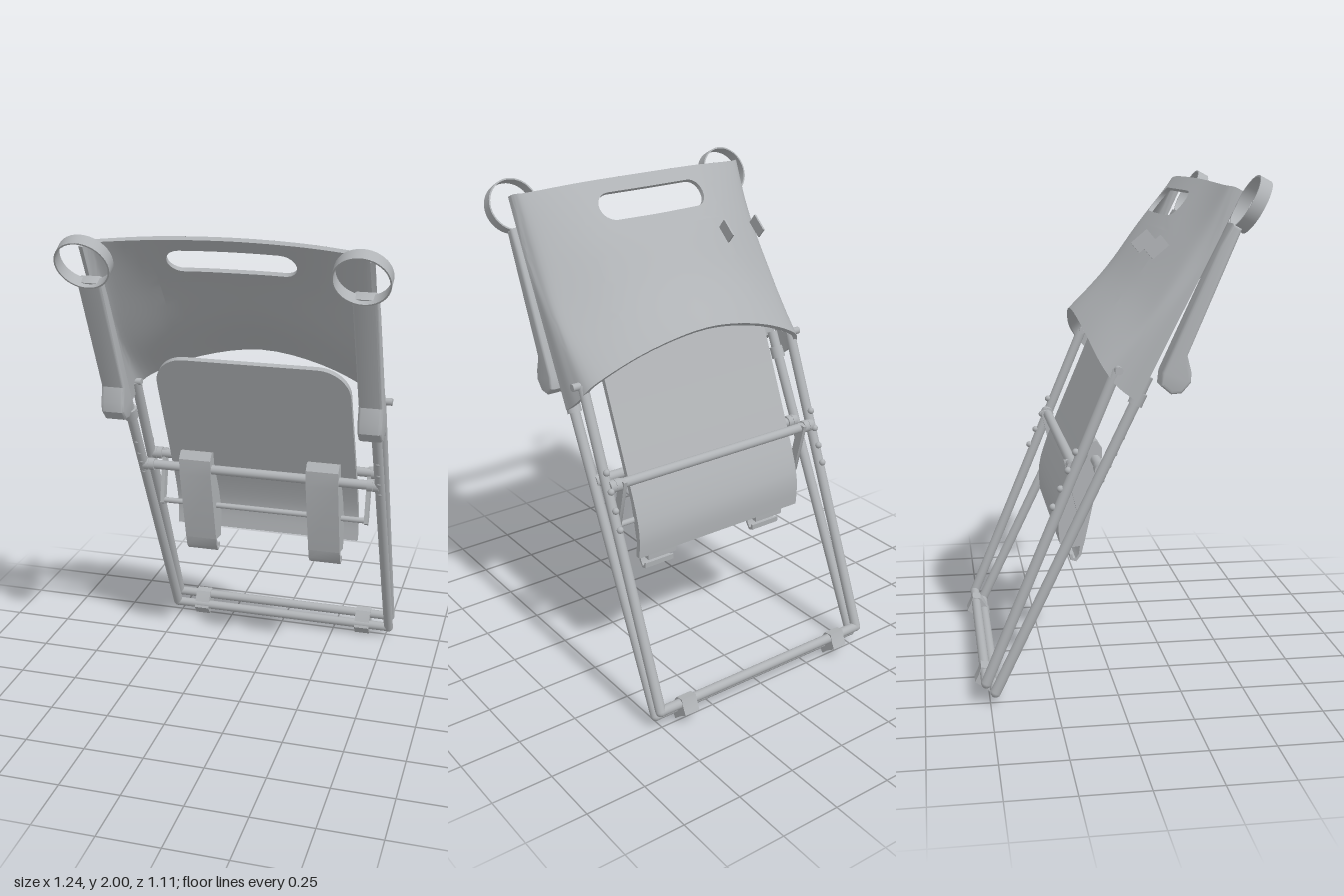
import * as THREE from 'three';
import { mergeGeometries, toCreasedNormals } from 'three/addons/utils/BufferGeometryUtils.js';

const grey = new THREE.MeshStandardMaterial({ color: 0xb0b3b6, side: THREE.DoubleSide });
grey.name = 'grey';
const V = (x, y, z) => new THREE.Vector3(x, y, z);

// grid surface from a rule f(a, b), with a and b running 0..1
function sheet(f, na, nb) {
  const pos = [], idx = [];
  for (let j = 0; j <= nb; j++)
    for (let i = 0; i <= na; i++) pos.push(...f(i / na, j / nb).toArray());
  for (let j = 0; j < nb; j++)
    for (let i = 0; i < na; i++) {
      const p = j * (na + 1) + i, q = p + na + 1;
      idx.push(p, q, p + 1, p + 1, q, q + 1);
    }
  const g = new THREE.BufferGeometry();
  g.setAttribute('position', new THREE.Float32BufferAttribute(pos, 3));
  g.setIndex(idx);
  return g.toNonIndexed();
}

// side outline given as [z, y] pairs, extruded across x
function sideProfile(points, width, x, bevel = 0) {
  const shape = new THREE.Shape(points.map(([z, y]) => new THREE.Vector2(z, y)));
  const depth = width - 2 * bevel;
  const g = new THREE.ExtrudeGeometry(shape, {
    depth, bevelEnabled: bevel > 0, bevelSize: bevel, bevelThickness: bevel, bevelOffset: -bevel, bevelSegments: 3
  });
  g.translate(0, 0, -depth / 2).rotateY(-Math.PI / 2).translate(x, 0, 0);
  return toCreasedNormals(g, 0.6);
}

// backrest: five columns of control points, mirrored
const columns = [
  [[0, 1.985, 0.34], [0, 1.8, 0.185], [0, 1.615, 0.035], [0, 1.46, -0.12]],
  [[0.27, 1.98, 0.355], [0.27, 1.795, 0.205], [0.27, 1.59, 0.055], [0.27, 1.415, -0.105]],
  [[0.49, 1.965, 0.385], [0.49, 1.76, 0.27], [0.49, 1.52, 0.11], [0.49, 1.32, -0.07]],
  [[0.54, 1.96, 0.41], [0.54, 1.73, 0.31], [0.54, 1.5, 0.15], [0.54, 1.24, -0.015]],
  [[0.55, 1.945, 0.44], [0.55, 1.72, 0.33], [0.55, 1.48, 0.21], [0.55, 1.18, 0.06]]
].map(c => new THREE.CatmullRomCurve3(c.map(p => V(...p)), false, 'catmullrom'));

function backPoint(u, v) {
  const half = columns.map(c => c.getPoint(THREE.MathUtils.clamp(v, 0, 1)));
  const mirrored = half.slice(1).reverse().map(p => V(-p.x, p.y, p.z));
  return new THREE.CatmullRomCurve3([...mirrored, ...half], false, 'catmullrom').getPoint(THREE.MathUtils.clamp(u, 0, 1));
}

function backShell(u, v, depth) {
  const p = backPoint(u, v), e = 0.004;
  if (!depth) return p;
  const du = backPoint(u + e, v).sub(backPoint(u - e, v));
  const dv = backPoint(u, v + e).sub(backPoint(u, v - e));
  return p.addScaledVector(du.cross(dv).normalize(), -depth);
}

function backrestGeometry() {
  const thick = 0.018, parts = [];
  // square loop and matching rounded slot loop
  const square = a => {
    const k = (a * 4) % 4, s = Math.floor(k), t = (k - s) * 2 - 1;
    return [[t, -1], [1, t], [-t, 1], [-1, -t]][s];
  };
  const slot = a => {
    const [x, y] = square(a);
    if (Math.abs(y) === 1) return [0.494 + x * 0.088, 0.17 + y * 0.085];
    const w = y * Math.PI / 2;
    return [0.494 + x * (0.088 + 0.028 * Math.cos(w)), 0.17 + 0.085 * Math.sin(w)];
  };
  const lerp = THREE.MathUtils.lerp;
  for (const d of [0, thick]) {
    const patch = (u0, u1, v0, v1, na, nb) =>
      parts.push(sheet((a, b) => backShell(lerp(u0, u1, a), lerp(v0, v1, b), d), na, nb));
    patch(0, 0.35, 0, 1, 16, 24);
    patch(0.65, 1, 0, 1, 16, 24);
    patch(0.35, 0.65, 0.34, 1, 10, 16);
    parts.push(sheet((a, b) => {
      const [x, y] = square(a), [u, v] = slot(a);
      return backShell(lerp(0.5 + x * 0.15, u, b), lerp(0.17 + y * 0.17, v, b), d);
    }, 48, 4));
  }
  // slot wall and outer rim
  parts.push(sheet((a, b) => backShell(...slot(a), b * thick), 48, 1));
  for (const e of [0, 1]) {
    parts.push(sheet((a, b) => backShell(a, e, b * thick), 44, 1));
    parts.push(sheet((a, b) => backShell(e, a, b * thick), 24, 1));
  }
  return toCreasedNormals(mergeGeometries(parts), 0.7);
}

function seatGeometry() {
  const curve = new THREE.CatmullRomCurve3([V(0, 1.44, 0.08), V(0, 1.2, -0.02), V(0, 0.95, -0.125),
    V(0, 0.8, -0.185), V(0, 0.7, -0.21), V(0, 0.6, -0.205)]);
  const rows = 36, r = 0.13, length = curve.getLength();
  return toCreasedNormals(sheet((a, b) => {
    const row = Math.round(b * rows);
    const t = THREE.MathUtils.clamp((row - 1) / (rows - 2), 0, 1) ** 2;
    const d = Math.min(r, t * length);
    const w = 0.405 - r + Math.sqrt(r * r - (r - d) ** 2);
    const h = row === 0 || row === rows ? 0 : 0.011; // closed ends
    const [sx, sn] = [[-1, -1], [1, -1], [1, 1], [-1, 1], [-1, -1]][Math.round(a * 4)];
    const p = curve.getPointAt(t), n = curve.getTangentAt(t);
    return V(sx * w, p.y - n.z * sn * h, p.z + n.y * sn * h);
  }, 4, rows), 0.6);
}

export function createModel() {
  const model = new THREE.Group();
  const add = (name, geometry) => {
    const m = new THREE.Mesh(geometry, grey);
    m.name = name;
    model.add(m);
    return m;
  };
  const rod = (name, p, q, r) => {
    const d = q.clone().sub(p);
    const m = add(name, new THREE.CylinderGeometry(r, r, d.length(), 16));
    m.position.copy(p).addScaledVector(d, 0.5);
    m.quaternion.setFromUnitVectors(V(0, 1, 0), d.normalize());
  };
  const ball = (name, x, y, z, r) => add(name, new THREE.SphereGeometry(r, 12, 8)).position.set(x, y, z);

  add('backrest', backrestGeometry());
  add('seat', seatGeometry());

  // hooks on the back of the backrest
  for (const [x, y, z] of [[-0.45, 1.74, 0.145], [-0.275, 1.75, 0.125]]) {
    const m = add('backHook', new THREE.BoxGeometry(0.008, 0.05, 0.08));
    m.position.set(x, y, z);
    m.rotation.x = -0.7;
  }

  // crossbars
  rod('frontFootBar', V(-0.515, 0.05, -0.48), V(0.515, 0.05, -0.48), 0.02);
  rod('rearFootBar', V(-0.515, 0.09, -0.515), V(0.515, 0.09, -0.515), 0.02);
  rod('frontSeatBar', V(-0.51, 0.915, -0.068), V(0.51, 0.915, -0.068), 0.02);
  rod('rearSeatBar', V(-0.51, 0.93, -0.173), V(0.51, 0.93, -0.173), 0.02);
  rod('thinRod', V(-0.455, 0.727, -0.13), V(0.455, 0.727, -0.13), 0.012);

  for (const s of [-1, 1]) {
    const x = s * 0.515;
    // legs
    rod('frontLeg', V(x, 0.05, -0.48), V(x, 1.27, 0.105), 0.021);
    rod('rearLeg', V(x, 0.09, -0.515), V(x, 1.3, -0.012), 0.021);
    ball('frontLegCorner', x, 0.05, -0.48, 0.021);
    ball('rearLegCorner', x, 0.09, -0.515, 0.021);
    rod('legCollar', V(x, 1.165, 0.055), V(x, 1.21, 0.077), 0.029);
    rod('pivotPin', V(s * 0.49, 1.3, -0.01), V(s * 0.562, 1.3, -0.01), 0.015);
    for (const bx of [0.475, 0.5]) {
      rod('barCollar', V(s * (bx - 0.012), 0.915, -0.068), V(s * (bx + 0.012), 0.915, -0.068), 0.026);
      rod('barCollar', V(s * (bx - 0.012), 0.93, -0.173), V(s * (bx + 0.012), 0.93, -0.173), 0.026);
    }
    // adjustment studs
    for (const y of [0.78, 0.85, 0.92, 0.99])
      ball('rearLegStud', x, y, -0.173 + (y - 0.93) * 0.416 - 0.018, 0.014);
    for (const y of [0.88, 0.935, 0.98, 1.04])
      ball('frontLegStud', x, y, -0.068 + (y - 0.915) * 0.48 + 0.016, 0.012);

    // armrest with ring on its end
    add('armrest', sideProfile([[0.44, 1.81], [0.405, 1.83], [0.36, 1.75], [0.15, 1.29], [0.145, 1.24],
      [0.185, 1.207], [0.225, 1.21], [0.26, 1.25], [0.26, 1.29], [0.245, 1.35]], 0.095, s * 0.518, 0.012));
    const ring = new THREE.LatheGeometry([[0.1, -0.025], [0.106, -0.025], [0.106, 0.025], [0.1, 0.025], [0.1, -0.025]]
      .map(p => new THREE.Vector2(...p)), 40);
    const ringMesh = add('ring', toCreasedNormals(ring, 0.6));
    ringMesh.position.set(x, 1.896, 0.48);
    ringMesh.rotation.x = -1.08;

    // swing link between rear bar and thin rod
    add('link', sideProfile([[-0.205, 0.945], [-0.165, 0.95], [-0.112, 0.72], [-0.135, 0.705], [-0.15, 0.72]], 0.016, s * 0.453));

    // bracket over the front bar with lower hook
    const bx = s * 0.276;
    add('bracket', sideProfile([[-0.1, 0.93], [-0.09, 0.985], [-0.065, 0.99], [-0.042, 0.96], [-0.045, 0.89],
      [-0.115, 0.57], [-0.19, 0.56], [-0.2, 0.68], [-0.17, 0.78]], 0.138, bx));
    add('bracketHook', sideProfile([[-0.11, 0.6], [-0.125, 0.53], [-0.145, 0.505], [-0.168, 0.512], [-0.17, 0.535],
      [-0.16, 0.535], [-0.158, 0.52], [-0.147, 0.516], [-0.135, 0.535], [-0.125, 0.6]], 0.138, bx));

    // foot clip joining both lower bars
    add('footClip', sideProfile([[-0.455, 0.04], [-0.485, 0], [-0.515, 0.028], [-0.555, 0.055], [-0.54, 0.085],
      [-0.53, 0.115], [-0.495, 0.11], [-0.475, 0.08]], 0.068, s * 0.39));
  }
  return model;
}
